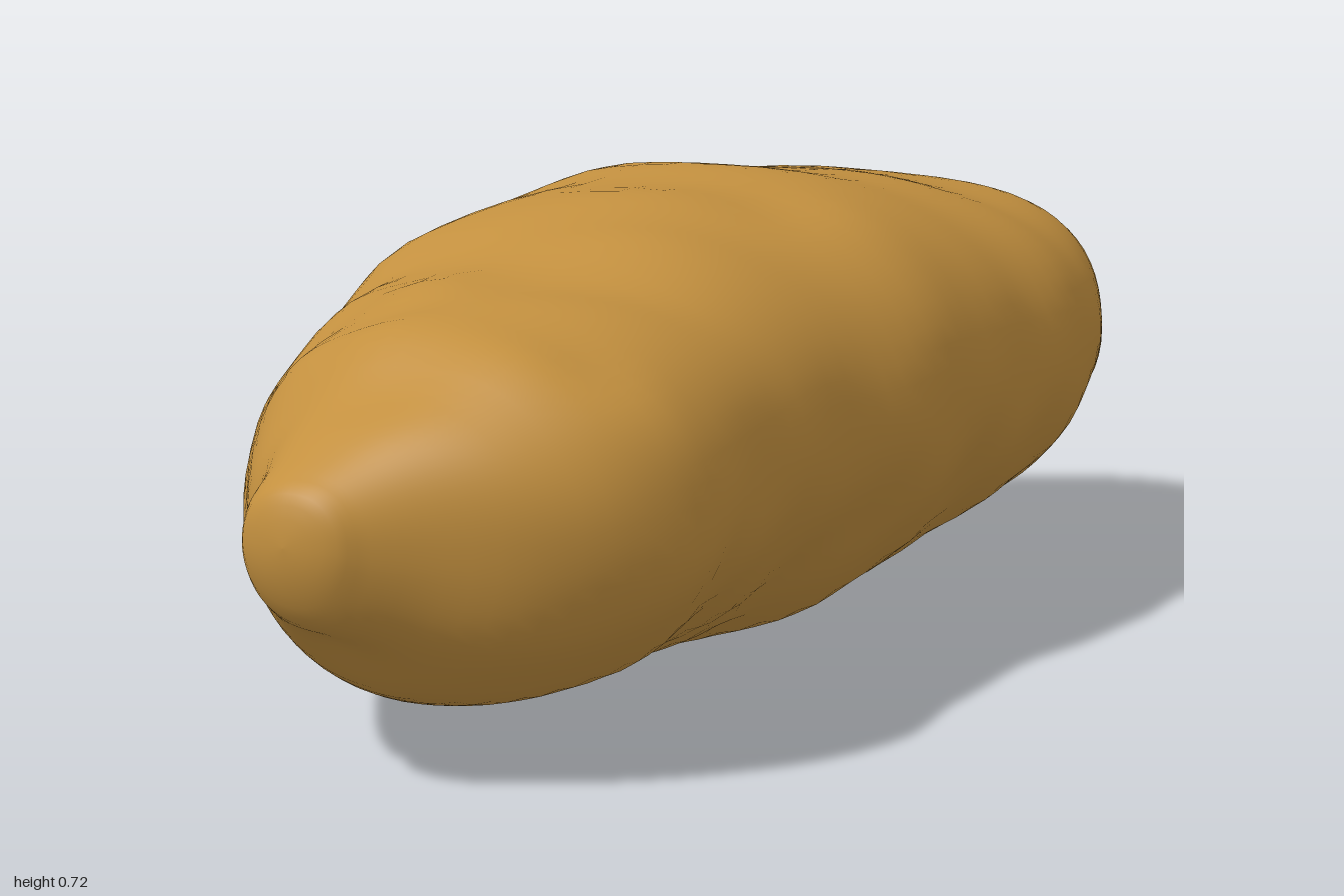
import * as THREE from 'three';

// Cross-sections along the tuber: z, left x, right x, bottom y, top y
const SECTIONS = [
  [-1, 0.15, 0.15, 0.38, 0.38],
  [-0.96, -0.0, 0.27, 0.25, 0.49],
  [-0.9, -0.11, 0.33, 0.19, 0.55],
  [-0.8, -0.2, 0.39, 0.15, 0.61],
  [-0.6, -0.34, 0.45, 0.08, 0.655],
  [-0.4, -0.42, 0.46, 0.045, 0.69],
  [-0.15, -0.465, 0.47, 0.015, 0.727],
  [0, -0.478, 0.46, 0.005, 0.72],
  [0.2, -0.445, 0.437, 0.03, 0.71],
  [0.4, -0.385, 0.445, 0.06, 0.665],
  [0.6, -0.295, 0.465, 0.08, 0.645],
  [0.7, -0.235, 0.43, 0.09, 0.63],
  [0.8, -0.16, 0.35, 0.13, 0.57],
  [0.9, -0.075, 0.23, 0.21, 0.51],
  [0.96, -0.045, 0.16, 0.265, 0.475],
  [0.985, -0.02, 0.13, 0.31, 0.455],
  [1, 0.05, 0.05, 0.38, 0.38],
];

// Knobs (+) and hollows (-): x, y, z, height, radius
const LUMPS = [
  [0.46, 0.33, 0.58, 0.01, 0.09],
  [0.45, 0.37, 0.05, 0.008, 0.1],
  [0.42, 0.22, 0.1, -0.018, 0.14],
  [0.42, 0.25, -0.3, -0.012, 0.13],
  [0.2, 0.69, -0.05, -0.01, 0.08],
  [-0.15, 0.65, 0.33, -0.014, 0.08],
  [-0.14, 0.7, -0.28, -0.01, 0.06],
  [0.32, 0.58, 0.65, -0.01, 0.07],
  [0.05, 0.2, 0.89, -0.018, 0.07],
  [-0.02, 0.64, 0.52, 0.008, 0.06],
];

const RINGS = 72, SIDES = 64;

const signedPower = (v, p) => Math.sign(v) * Math.abs(v) ** p;

function createSkinGeometry() {
  // Sampling by polar angle keeps both ends round
  const spline = new THREE.CubicInterpolant(
    SECTIONS.map((s) => Math.acos(-s[0])),
    SECTIONS.flatMap((s) => s.slice(1)), 4, new Float32Array(4));
  const pos = [];
  for (let i = 0; i <= RINGS; i++) {
    const a = (Math.PI * i) / RINGS;
    const z = -Math.cos(a);
    const [x0, x1, y0, y1] = spline.evaluate(a);
    const cx = (x0 + x1) / 2, cy = (y0 + y1) / 2;
    const rx = (x1 - x0) / 2, ry = (y1 - y0) / 2;
    for (let j = 0; j < SIDES; j++) {
      const t = (2 * Math.PI * j) / SIDES;
      // Slightly tilted oval with fuller upper shoulders
      const p = t < Math.PI ? 0.9 : 1;
      const x = cx + rx * signedPower(Math.cos(t - 0.03), p);
      const y = cy + ry * signedPower(Math.sin(t + 0.03), p);
      // Gentle uneven skin
      let d = 0.004 * Math.sin(13 * x + 5 * z + 1) * Math.sin(15 * z - 8 * y)
            + 0.004 * Math.sin(23 * y + 11 * x) * Math.sin(25 * z + 13 * x + 2);
      for (const [lx, ly, lz, h, r] of LUMPS) {
        const q = (x - lx) ** 2 + (y - ly) ** 2 + (z - lz) ** 2;
        d += h * Math.exp(-q / (r * r));
      }
      d *= Math.min(1, 2.5 * Math.sin(a));
      pos.push(x + d * Math.cos(t), y + d * Math.sin(t), z);
    }
  }

  // Split faces between plain skin and the dark blemish on the back tip
  const skin = [], scar = [];
  const inScar = (k) => {
    const dx = pos[3 * k] - 0.13, dy = pos[3 * k + 1] - 0.39;
    const r = 0.06 + 0.015 * Math.sin(3 * Math.atan2(dy, dx) + 1.5);
    return pos[3 * k + 2] < -0.9 && dx * dx + dy * dy < r * r;
  };
  for (let i = 0; i < RINGS; i++) {
    for (let j = 0; j < SIDES; j++) {
      const n = (j + 1) % SIDES;
      const a = i * SIDES + j, b = i * SIDES + n;
      const c = b + SIDES, d = a + SIDES;
      const list = inScar(a) ? scar : skin;
      if (i > 0) list.push(a, b, c);
      if (i < RINGS - 1) list.push(a, c, d);
    }
  }
  const geo = new THREE.BufferGeometry();
  geo.setAttribute('position', new THREE.Float32BufferAttribute(pos, 3));
  geo.setIndex([...skin, ...scar]);
  geo.addGroup(0, skin.length, 0);
  geo.addGroup(skin.length, scar.length, 1);
  geo.computeVertexNormals();
  geo.computeBoundingBox();
  geo.translate(0, -geo.boundingBox.min.y, 0);
  return geo;
}

export function createModel() {
  const skinMat = new THREE.MeshStandardMaterial({ color: 0xc3903f });
  skinMat.name = 'golden brown skin';
  const scarMat = new THREE.MeshStandardMaterial({ color: 0x33240f });
  scarMat.name = 'dark blemish';

  const group = new THREE.Group();
  group.name = 'potato';
  const body = new THREE.Mesh(createSkinGeometry(), [skinMat, scarMat]);
  body.name = 'potatoBody';
  group.add(body);
  return group;
}
